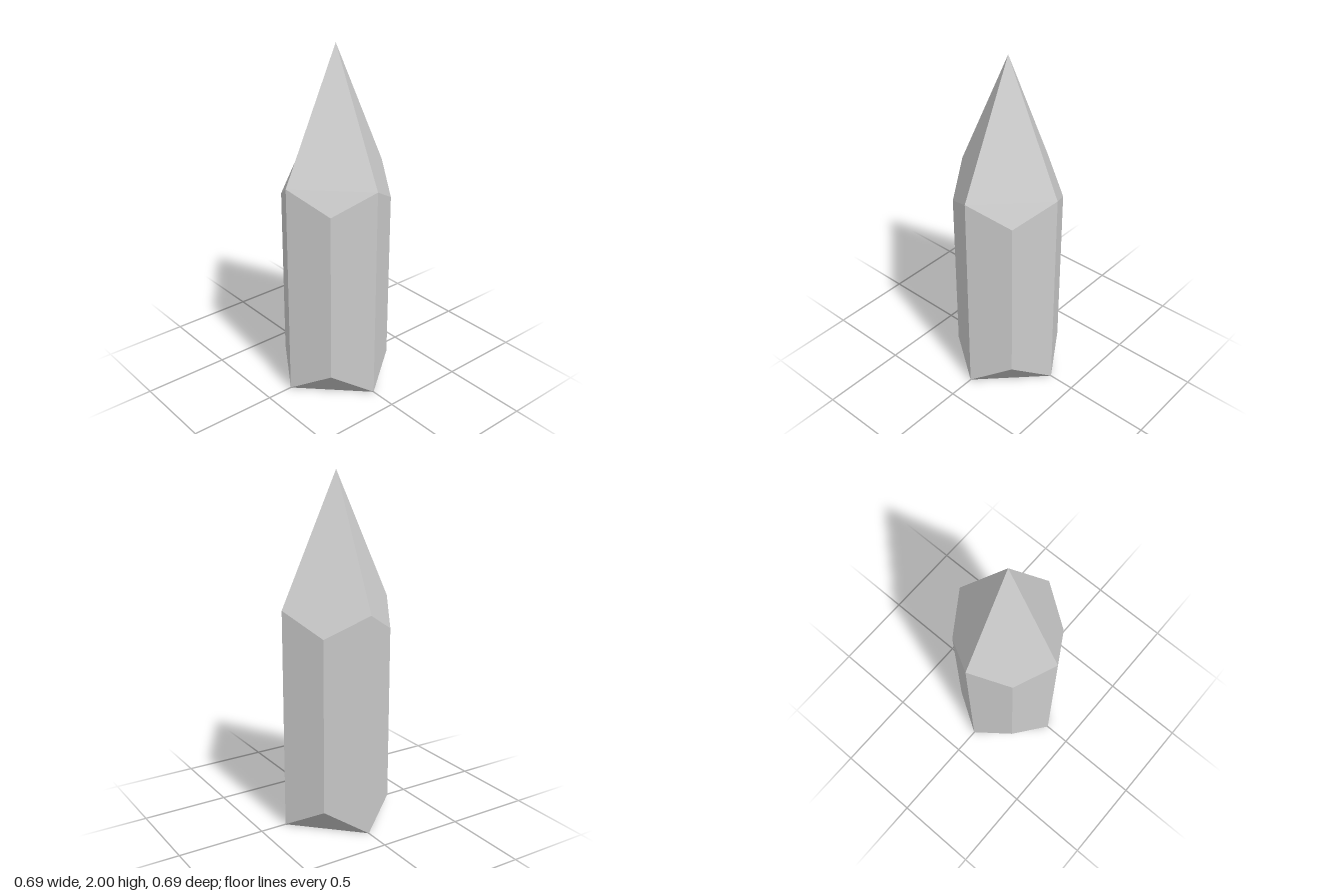
import * as THREE from 'three';

const AXIS_R = 0.345, DIAGONAL = 0.217; // ridge radius, valley offset in x and z
const TIP = new THREE.Vector3(0, 2, 0), BASE = new THREE.Vector3(0, 0, 0);

// Eight-point ring: even points sit on the axes, odd points on the diagonals
function ring(axisY, diagonalY) {
  return Array.from({ length: 8 }, (_, i) => {
    const a = (i * Math.PI) / 4, odd = i % 2;
    const r = odd ? DIAGONAL * Math.SQRT2 : AXIS_R;
    return new THREE.Vector3(Math.cos(a) * r, odd ? diagonalY : axisY, Math.sin(a) * r);
  });
}

// Faceted mesh of quads; each quad is one facet with a single normal
function facets(name, quads, material) {
  const positions = [], normals = [];
  for (const [a, b, c, d] of quads) {
    const n = c.clone().sub(a).cross(d.clone().sub(b)).normalize();
    for (const p of [a, b, c, a, c, d]) {
      positions.push(p.x, p.y, p.z);
      normals.push(n.x, n.y, n.z);
    }
  }
  const geometry = new THREE.BufferGeometry();
  geometry.setAttribute('position', new THREE.Float32BufferAttribute(positions, 3));
  geometry.setAttribute('normal', new THREE.Float32BufferAttribute(normals, 3));
  const mesh = new THREE.Mesh(geometry, material);
  mesh.name = name;
  return mesh;
}

export function createModel() {
  const group = new THREE.Group();
  group.name = 'crystal';
  const material = new THREE.MeshStandardMaterial({ color: 0xcccccc });
  const low = ring(0, 0.13), high = ring(1.27, 1.14);
  const shaft = [], tip = [], base = [];

  // Eight upright sides
  for (let i = 0; i < 8; i++) {
    const j = (i + 1) % 8;
    shaft.push([low[j], low[i], high[i], high[j]]);
  }
  // Four kites meeting at the point, and four closing the underside
  for (let i = 0; i < 8; i += 2) {
    const k = (i + 2) % 8;
    tip.push([high[k], high[i + 1], high[i], TIP]);
    base.push([low[i], low[i + 1], low[k], BASE]);
  }

  group.add(
    facets('shaft', shaft, material),
    facets('tip', tip, material),
    facets('base', base, material),
  );
  return group;
}
